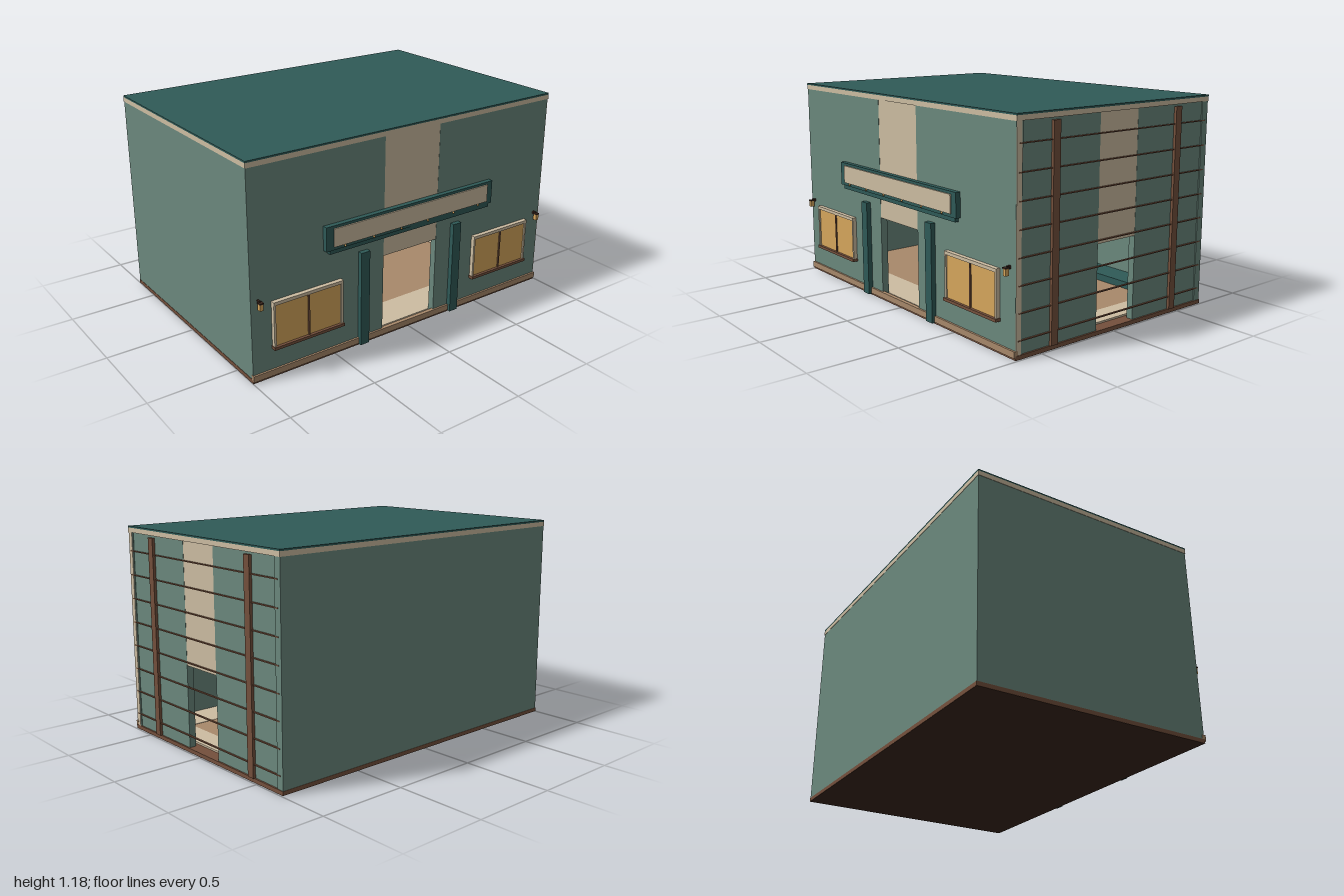
import * as THREE from 'three';

const mats = {};
const mat = (color) => (mats[color] ??= new THREE.MeshStandardMaterial({ color }));
const GREEN = 0x6b887d, TEAL = 0x2f5a57, CREAM = 0xcdbda2, BROWN = 0x74503c,
  TAN = 0xa8896b, AMBER = 0xd6a65c, DARK = 0x3a261d;

// Box given by its limits on each axis
function box(parent, name, color, x0, x1, y0, y1, z0, z1) {
  const m = new THREE.Mesh(new THREE.BoxGeometry(x1 - x0, y1 - y0, z1 - z0), mat(color));
  m.position.set((x0 + x1) / 2, (y0 + y1) / 2, (z0 + z1) / 2);
  m.name = name;
  parent.add(m);
  return m;
}

function group(parent, name) {
  const g = new THREE.Group();
  g.name = name;
  parent.add(g);
  return g;
}

// Two-pane window, x is its centre
function addWindow(parent, x) {
  const w = group(parent, 'window');
  const h = 0.21, z = 0.655;
  box(w, 'glass', AMBER, x - h + 0.01, x + h - 0.01, 0.18, 0.415, z, 0.672);
  box(w, 'lintel', CREAM, x - h, x + h, 0.412, 0.43, z, 0.682);
  for (const s of [-1, 1]) {
    const c = x + s * (h - 0.006);
    box(w, 'jamb', CREAM, c - 0.006, c + 0.006, 0.18, 0.412, z, 0.68);
  }
  box(w, 'mullion', BROWN, x - 0.005, x + 0.005, 0.18, 0.412, z, 0.678);
  box(w, 'sill', BROWN, x - h - 0.004, x + h + 0.004, 0.165, 0.181, z, 0.688);
}

// Wall lamp with a dark cap
function addLamp(parent, x) {
  const l = group(parent, 'wallLamp');
  box(l, 'bracket', DARK, x - 0.005, x + 0.005, 0.445, 0.462, 0.655, 0.68);
  box(l, 'lampGlass', AMBER, x - 0.01, x + 0.01, 0.415, 0.45, 0.672, 0.694);
  box(l, 'lampCap', DARK, x - 0.012, x + 0.012, 0.45, 0.457, 0.67, 0.697);
}

export function createModel() {
  const model = new THREE.Group();
  model.name = 'shopBuilding';
  const R = 0.99; // outer face of the right end

  // Base and roof
  box(model, 'base', BROWN, -1, R + 0.003, 0, 0.022, -0.7, 0.66);
  box(model, 'underside', DARK, -0.999, R + 0.002, -0.001, 0.004, -0.699, 0.659);
  box(model, 'roofTrim', CREAM, -1, R + 0.003, 1.145, 1.171, -0.7, 0.66);
  box(model, 'roof', TEAL, -1, R + 0.003, 1.17, 1.18, -0.7, 0.66);

  // Solid back and left walls
  const walls = group(model, 'walls');
  box(walls, 'backWall', GREEN, -0.998, R, 0.02, 1.146, -0.698, -0.655);
  box(walls, 'leftWall', GREEN, -0.998, -0.955, 0.02, 1.146, -0.656, 0.62);

  // Front wall with a doorway below a cream panel
  box(walls, 'frontWallLeft', GREEN, 0.18, R - 0.002, 0.02, 1.146, 0.617, 0.657);
  box(walls, 'frontWallRight', GREEN, -0.998, -0.185, 0.02, 1.146, 0.617, 0.657);
  box(walls, 'frontPanel', CREAM, -0.185, 0.18, 0.48, 1.146, 0.617, 0.656);
  box(walls, 'cornerBoard', CREAM, 0.95, R + 0.001, 0.022, 1.146, 0.625, 0.6565);

  // Side wall, slightly set back, with an opening below a cream panel
  box(walls, 'sideWallFront', GREEN, 0.945, 0.984, 0.02, 1.146, 0.115, 0.618);
  box(walls, 'sideWallBack', GREEN, 0.945, 0.984, 0.02, 1.146, -0.656, -0.155);
  box(walls, 'sidePanel', CREAM, 0.945, 0.983, 0.48, 1.146, -0.155, 0.115);

  // Interior floor
  box(model, 'floor', TAN, -0.956, 0.8, 0.02, 0.03, -0.656, 0.42);
  box(model, 'entranceFloor', CREAM, -0.956, 0.946, 0.02, 0.032, 0.41, 0.618);
  box(model, 'sideMat', CREAM, 0.78, 0.92, 0.02, 0.032, -0.5, 0.41);
  box(model, 'backPlatform', TEAL, -0.956, 0.946, 0.02, 0.07, -0.656, -0.5);

  // Front plinth
  box(model, 'plinth', TAN, -1, R + 0.002, 0.012, 0.046, 0.645, 0.668);

  // Side rails and posts
  const side = group(model, 'sideFrame');
  for (let i = 0; i < 8; i++) {
    const y = 0.093 + i * 0.1355;
    box(side, 'rail', BROWN, 0.982, 0.9925, y - 0.003, y + 0.003, -0.68, 0.643);
  }
  for (const z of [0.415, -0.453])
    box(side, 'sidePost', BROWN, 0.98, 1, 0.022, 1.133, z - 0.022, z + 0.022);

  // Door posts
  for (const x of [-0.322, 0.312])
    box(model, 'doorPost', TEAL, x - 0.028, x + 0.028, 0.008, 0.55, 0.65, 0.684);

  // Sign board over the door
  const sign = group(model, 'signBoard');
  box(sign, 'signFrame', TEAL, -0.57, 0.56, 0.617, 0.75, 0.65, 0.685);
  box(sign, 'signPanel', CREAM, -0.525, 0.52, 0.635, 0.735, 0.68, 0.692);
  box(sign, 'lowerRail', TEAL, -0.545, 0.545, 0.595, 0.62, 0.65, 0.68);
  for (let i = 0; i < 6; i++) {
    const bulb = new THREE.Mesh(new THREE.SphereGeometry(0.006, 10, 8), mat(AMBER));
    bulb.position.set(-0.46 + i * 0.182, 0.63, 0.694);
    bulb.name = 'bulb';
    sign.add(bulb);
  }

  for (const x of [-0.672, 0.661]) addWindow(model, x);
  for (const x of [-0.957, 0.947]) addLamp(model, x);
  return model;
}
